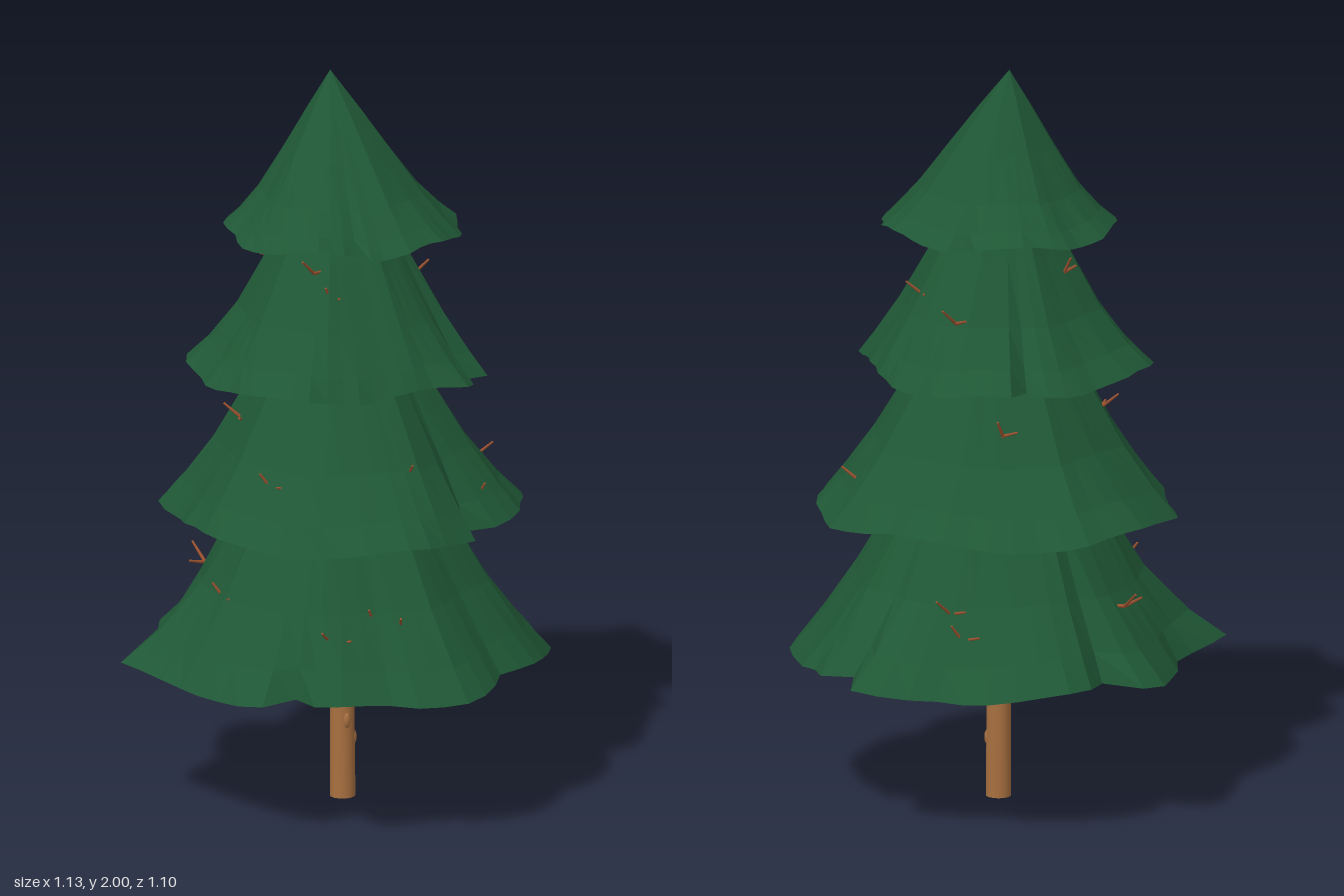
import * as THREE from 'three';

const needles = new THREE.MeshStandardMaterial({ color: 0x1f5735, flatShading: true });
needles.name = 'needle green';
const bark = new THREE.MeshStandardMaterial({ color: 0xa87040 });
bark.name = 'bark brown';
const twigBark = new THREE.MeshStandardMaterial({ color: 0x9c5230 });
twigBark.name = 'twig brown';

// Rim radii in hundredths at even angles, running from +x towards +z; notches in degrees
const tiers = [
  { name: 'bottomTier', top: 1.28, rim: 0.405, lean: 0.03, notches: [143, 264, 346],
    radii: [54, 54, 53, 48, 55, 51, 55, 55, 54, 61, 50, 58, 54, 57, 54, 61] },
  { name: 'lowerMiddleTier', top: 1.56, rim: 0.805, lean: 0.03, notches: [68],
    radii: [49, 47, 46, 42, 45, 47, 46, 46, 47, 45, 50, 50, 52, 50, 48, 46] },
  { name: 'upperMiddleTier', top: 1.85, rim: 1.195, lean: 0.045, notches: [53, 285],
    radii: [35, 33, 37, 37, 32, 31, 34, 39, 39, 40, 43, 40, 40, 42, 43, 38] },
  { name: 'topTier', top: 2, rim: 1.575, lean: 0.062, notches: [120, 315],
    radii: [31, 30, 30, 29, 28, 28, 25, 29, 31, 31, 33, 33, 33, 33, 32, 30] },
];

// Fraction of the height down from the tip, fraction of the rim radius;
// after the rim the profile turns in to a hollowed underside
const skirtProfile = [
  [0, 0], [0.25, 0.235], [0.5, 0.46], [0.76, 0.7], [0.91, 0.875], [1, 1],
  [0.93, 0.85], [0.84, 0.6], [0.77, 0.3], [0.75, 0]];
const segments = 48;

// Rim radius at a segment: straight runs between the listed radii, a ripple and sharp notches
function rimRadius({ radii, notches, top }, i) {
  const t = (i / segments) * radii.length;
  const k = Math.floor(t);
  const base = THREE.MathUtils.lerp(radii[k], radii[(k + 1) % radii.length], t - k) / 100;
  const notched = notches.some((degrees) => Math.round((degrees / 360) * segments) === i);
  return (base + 0.006 * Math.sin(i * 1.9 + top * 5)) * (notched ? 0.88 : 1);
}

// Flared skirt: eight flat sides near the tip, turning into the ragged rim
function makeTier(tier) {
  const { top, rim, lean } = tier;
  const rims = Array.from({ length: segments }, (_, i) => rimRadius(tier, i));
  const mean = rims.reduce((sum, r) => sum + r, 0) / segments;
  const side = Math.PI / 4;
  const positions = [];
  const index = [];
  skirtProfile.forEach(([down, f], ring) => {
    rims.forEach((r, i) => {
      const angle = (i / segments) * Math.PI * 2;
      const octagon = mean * 0.97 / Math.cos((angle % side) - side / 2);
      const ragged = f ** 3;
      const radius = THREE.MathUtils.lerp(octagon, r, ragged) * f;
      const wave = 0.012 * Math.sin(angle * 5 + top * 7) * ragged;
      positions.push(
        Math.cos(angle) * radius - 0.01 * (1 - f),
        top + (rim - top) * down + wave,
        Math.sin(angle) * radius - lean * (1 - f));
      if (ring === 0) return;
      const j = (i + 1) % segments;
      const a = (ring - 1) * segments + i, b = (ring - 1) * segments + j;
      const c = ring * segments + i, d = ring * segments + j;
      if (ring > 1) index.push(a, b, c);
      if (f > 0) index.push(b, d, c);
    });
  });
  const indexed = new THREE.BufferGeometry();
  indexed.setAttribute('position', new THREE.Float32BufferAttribute(positions, 3));
  indexed.setIndex(index);
  const geometry = indexed.toNonIndexed();
  geometry.computeVertexNormals();
  const mesh = new THREE.Mesh(geometry, needles);
  mesh.name = tier.name;
  return mesh;
}

// Tapered round stick between two points
function stick(name, from, to, r0, r1, material, sides = 6) {
  const a = new THREE.Vector3(...from), b = new THREE.Vector3(...to);
  const dir = b.clone().sub(a);
  const mesh = new THREE.Mesh(new THREE.CylinderGeometry(r1, r0, dir.length(), sides), material);
  mesh.position.copy(a).add(b).multiplyScalar(0.5);
  mesh.quaternion.setFromUnitVectors(new THREE.Vector3(0, 1, 0), dir.normalize());
  mesh.name = name;
  return mesh;
}

// Point at an angle and distance from the trunk
const around = (angle, r, y) => [Math.cos(angle) * r, y, Math.sin(angle) * r - 0.02];

// Twigs poking out of each skirt, bottom to top: angle in degrees, tip height
const twigSpots = [
  [[102, 0.6], [113, 0.62], [130, 0.58], [183, 0.64], [244, 0.62], [312, 0.57], [318, 0.63]],
  [[12, 0.92], [55, 0.9], [93, 1.0], [160, 0.97], [205, 1.09], [296, 1.1]],
  [[2, 1.43], [135, 1.46], [150, 1.53], [240, 1.5], [322, 1.4]],
];

// Forked twig whose tip stands just outside its skirt
function makeTwig({ top, rim, radii }, degrees, y, i) {
  const angle = THREE.MathUtils.degToRad(degrees);
  const surface = (radii[Math.round(degrees / 22.5) % 16] / 100) * 0.92 * (top - y) / (top - rim);
  const tip = surface + (i % 2 ? 0.035 : 0.06);
  const fork = around(angle, surface + 0.008, y - 0.035);
  const twig = new THREE.Group();
  twig.name = 'twig';
  twig.add(stick('twigStem', around(angle, surface * 0.5, y - 0.06), fork, 0.006, 0.005, twigBark));
  twig.add(stick('twigTip', fork, around(angle + 0.05, tip, y + 0.01), 0.005, 0.003, twigBark));
  twig.add(stick('twigSide', fork, around(angle - 0.12, surface + 0.03, y - 0.02), 0.005, 0.003, twigBark));
  return twig;
}

// Bent, forked bough under the lowest skirt
function makeBough(i) {
  const angle = i * 0.785 + 0.2 * Math.sin(i * 5);
  const reach = 0.29 + 0.06 * Math.sin(i * 3);
  const y = 0.5 + 0.015 * (i % 3);
  const elbow = around(angle + 0.1, reach * 0.5, y + 0.01);
  const bough = new THREE.Group();
  bough.name = 'bough';
  bough.add(stick('boughBase', around(angle, 0, y), elbow, 0.018, 0.013, bark));
  bough.add(stick('boughEnd', elbow, around(angle, reach, y), 0.013, 0.006, bark));
  if (i % 2) bough.add(stick('boughFork', elbow, around(angle + 0.35, reach * 0.8, y + 0.02), 0.008, 0.004, bark));
  return bough;
}

export function createModel() {
  const tree = new THREE.Group();
  tree.name = 'pineTree';

  // Trunk with a few knots
  tree.add(stick('trunk', [0, 0, -0.02], [0, 0.66, -0.025], 0.034, 0.03, bark, 14));
  for (let i = 0; i < 4; i++) {
    const knot = new THREE.Mesh(new THREE.SphereGeometry(0.01, 8, 6), bark);
    knot.scale.y = 2.2;
    knot.position.set(...around(i * 1.4 + 0.4, 0.028, 0.16 + i * 0.055));
    knot.name = 'trunkKnot';
    tree.add(knot);
  }

  // Boughs, needle skirts and twigs
  for (let i = 0; i < 8; i++) tree.add(makeBough(i));
  tiers.forEach((tier) => tree.add(makeTier(tier)));
  twigSpots.forEach((spots, level) =>
    spots.forEach(([degrees, y], i) => tree.add(makeTwig(tiers[level], degrees, y, i))));
  return tree;
}
